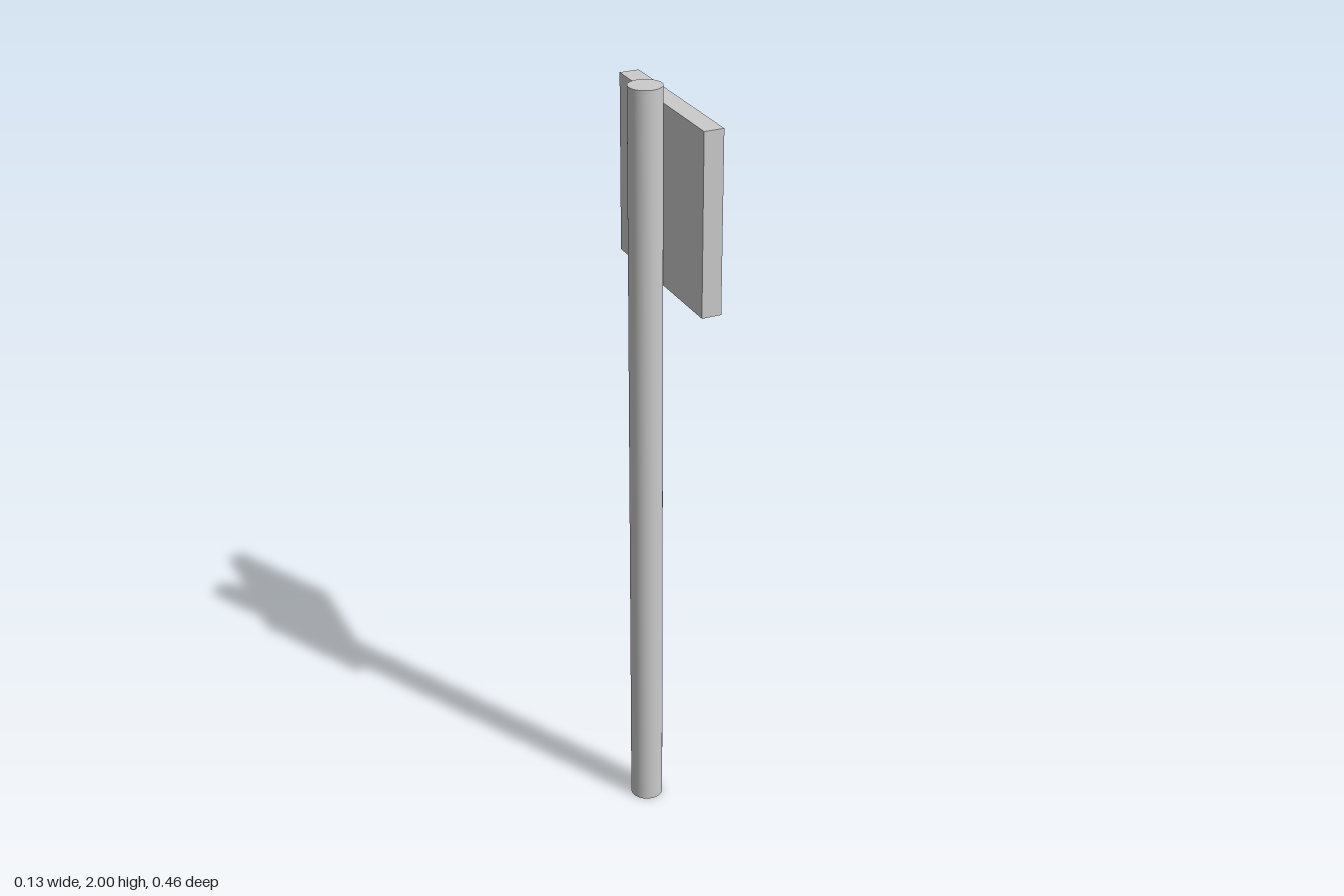
import * as THREE from 'three';

const grey = new THREE.MeshStandardMaterial({ color: 0xcccccc });
const blue = new THREE.MeshStandardMaterial({ color: 0x4b50cc });
const red = new THREE.MeshStandardMaterial({ color: 0xd03a32 });

const FACE_X = 0.064; // plane of the sign's printed face

// Thin raised arrow on the +x face. dir is 1 for up, -1 for down.
function makeArrow(name, material, { z, tip, wing, notch, tail, shaft, head, dir }) {
  const points = [
    [0, tip], [-head, wing], [-shaft, notch], [-shaft, tail],
    [shaft, tail], [shaft, notch], [head, wing],
  ].map(([u, y]) => new THREE.Vector2(u * dir, y));
  const geometry = new THREE.ExtrudeGeometry(new THREE.Shape(points), {
    depth: 0.002, bevelEnabled: false,
  });
  geometry.rotateY(Math.PI / 2);
  const arrow = new THREE.Mesh(geometry, material);
  arrow.name = name;
  arrow.position.set(FACE_X, 0, z);
  return arrow;
}

export function createModel() {
  const model = new THREE.Group();
  model.name = 'roadSign';

  // Round post
  const post = new THREE.Mesh(new THREE.CylinderGeometry(0.042, 0.042, 2, 48), grey);
  post.name = 'post';
  post.position.set(-0.024, 1, 0);

  // Square board, blue only on its +x face
  const board = new THREE.Mesh(
    new THREE.BoxGeometry(0.05, 0.455, 0.458),
    [blue, grey, grey, grey, grey, grey],
  );
  board.name = 'signBoard';
  board.position.set(FACE_X - 0.025, 1.729, 0);

  // Priority arrows
  const upArrow = makeArrow('upArrow', grey, {
    z: -0.064, tip: 1.902, wing: 1.804, notch: 1.821, tail: 1.566,
    shaft: 0.025, head: 0.074, dir: 1,
  });
  const downArrow = makeArrow('downArrow', red, {
    z: 0.062, tip: 1.594, wing: 1.672, notch: 1.659, tail: 1.861,
    shaft: 0.019, head: 0.058, dir: -1,
  });

  model.add(post, board, upArrow, downArrow);
  return model;
}
